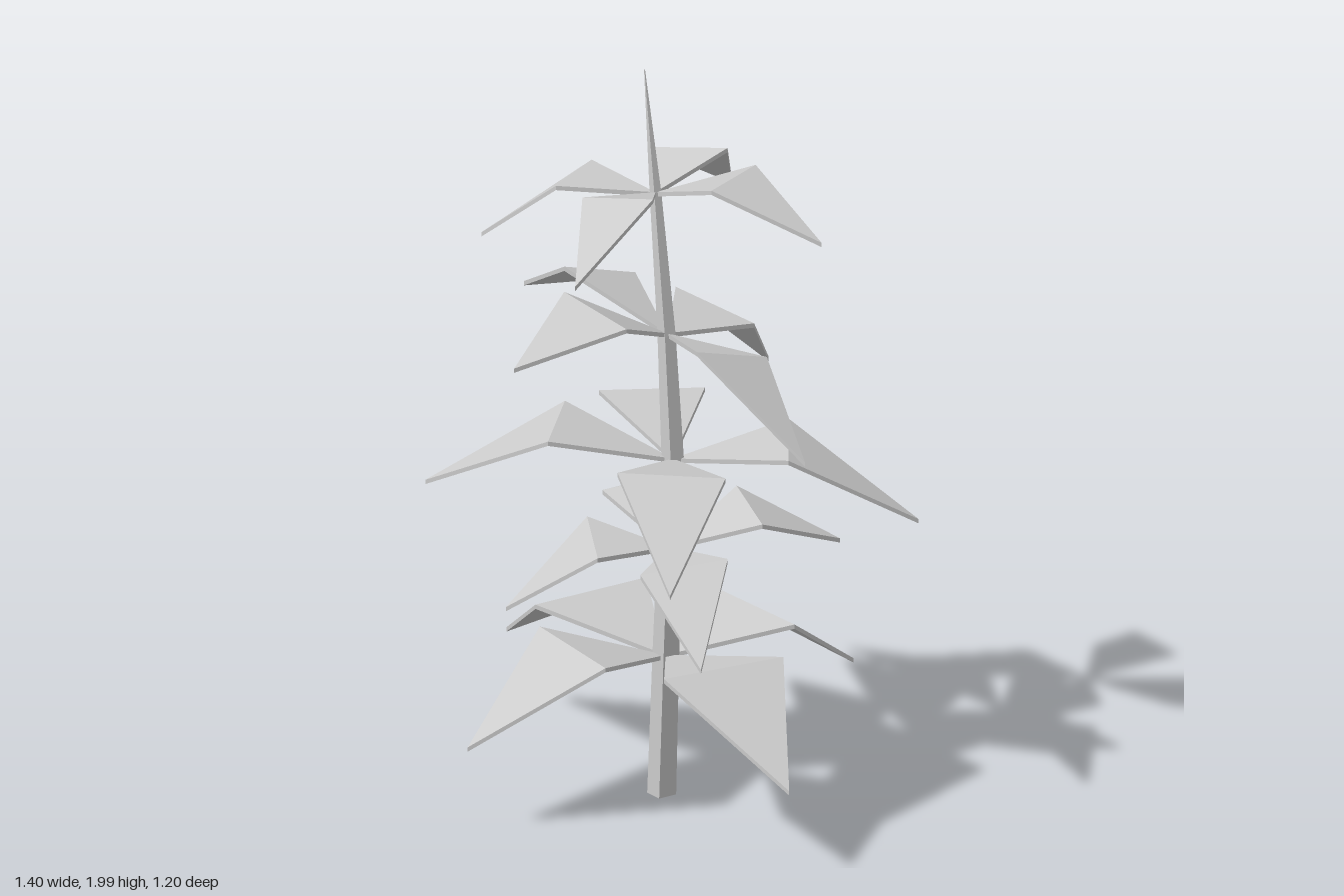
import * as THREE from 'three';

const material = new THREE.MeshStandardMaterial({ color: 0xcccccc, flatShading: true });
const THICKNESS = 0.012;

// Non-indexed geometry from corner points and triangles, for crisp facets
function facets(points, triangles) {
  const geometry = new THREE.BufferGeometry();
  geometry.setAttribute('position', new THREE.Float32BufferAttribute(points.flat(), 3));
  geometry.setIndex(triangles.flat());
  const flat = geometry.toNonIndexed();
  flat.computeVertexNormals();
  return flat;
}

// Two triangles per side between loops a and b (counter-clockwise from above, a on top)
function wall(a, b, n) {
  const triangles = [];
  for (let i = 0; i < n; i++) {
    const j = (i + 1) % n;
    triangles.push([a + i, b + i, b + j], [a + i, b + j, a + j]);
  }
  return triangles;
}

// Square stem that bends and tapers to a point: [x, y, half width]
function stemGeometry() {
  const sections = [
    [0, 0, 0.027], [0.018, 0.38, 0.025], [0.035, 0.69, 0.023], [0.05, 0.94, 0.021],
    [0.022, 1.28, 0.017], [-0.028, 1.66, 0.011], [-0.077, 1.985, 0.001],
  ];
  const points = [];
  const triangles = [[0, 2, 1], [0, 3, 2]];
  sections.forEach(([x, y, h], i) => {
    points.push([x - h, y, 0.01 + h], [x + h, y, 0.01 + h], [x + h, y, 0.01 - h], [x - h, y, 0.01 - h]);
    if (i) triangles.push(...wall(i * 4, i * 4 - 4, 4));
  });
  const top = points.length - 4;
  triangles.push([top, top + 1, top + 2], [top, top + 2, top + 3]);
  return facets(points, triangles);
}

// Kite-shaped leaf rising to a fold, then drooping to its tip
function leafGeometry(tier, tipX, tipZ) {
  const dx = tipX - tier.x;
  const dz = tipZ - 0.01;
  const length = Math.hypot(dx, dz);
  const at = (along, across, lift) => {
    const x = dx * along - (dz / length) * across;
    const z = dz * along + (dx / length) * across;
    return [tier.x + x, tier.y + lift + tier.tilt[0] * x + tier.tilt[1] * z, 0.01 + z];
  };
  const top = [
    at(0, 0, 0), at(0.47, tier.half, tier.rise), at(1, 0, -tier.droop), at(0.47, -tier.half, tier.rise),
  ];
  const bottom = top.map(([x, y, z]) => [x, y - THICKNESS, z]);
  return facets([...top, ...bottom],
    [[0, 1, 3], [1, 2, 3], [4, 7, 5], [5, 7, 6], ...wall(0, 4, 4)]);
}

// Leaf whorls: stem point, fold rise, tip droop, half width, slope of the whorl, tips as [x, z]
const tiers = [
  { x: 0.018, y: 0.39, rise: 0.072, droop: 0.148, half: 0.175, tilt: [0, 0],
    tips: [[-0.705, 0.005], [0.70, 0.10], [-0.045, 0.595], [0, -0.6]] },
  { x: 0.033, y: 0.695, rise: 0.06, droop: 0.095, half: 0.115, tilt: [-0.056, -0.172],
    tips: [[-0.475, -0.19], [0.48, 0.225], [0.18, -0.43], [-0.17, 0.385]] },
  { x: 0.05, y: 0.945, rise: 0.068, droop: 0.135, half: 0.14, tilt: [-0.063, 0.018],
    tips: [[-0.525, -0.255], [-0.405, 0.475], [0.525, 0.355], [0.42, -0.51]] },
  { x: 0.025, y: 1.285, rise: 0.055, droop: 0.115, half: 0.118, tilt: [-0.122, 0.31],
    tips: [[-0.57, 0.045], [0.58, -0.035], [0.10, 0.55], [-0.19, -0.465]] },
  { x: -0.028, y: 1.66, rise: 0.052, droop: 0.115, half: 0.105, tilt: [0.136, -0.082],
    tips: [[-0.47, 0.25], [0.45, -0.18], [0.155, 0.395], [-0.235, -0.38]] },
];

export function createModel() {
  const model = new THREE.Group();
  model.name = 'plant';

  const stem = new THREE.Mesh(stemGeometry(), material);
  stem.name = 'stem';
  model.add(stem);

  tiers.forEach((tier, i) => {
    const whorl = new THREE.Group();
    whorl.name = `leafWhorl${i + 1}`;
    for (const [x, z] of tier.tips) {
      const leaf = new THREE.Mesh(leafGeometry(tier, x, z), material);
      leaf.name = 'leaf';
      whorl.add(leaf);
    }
    model.add(whorl);
  });
  return model;
}
